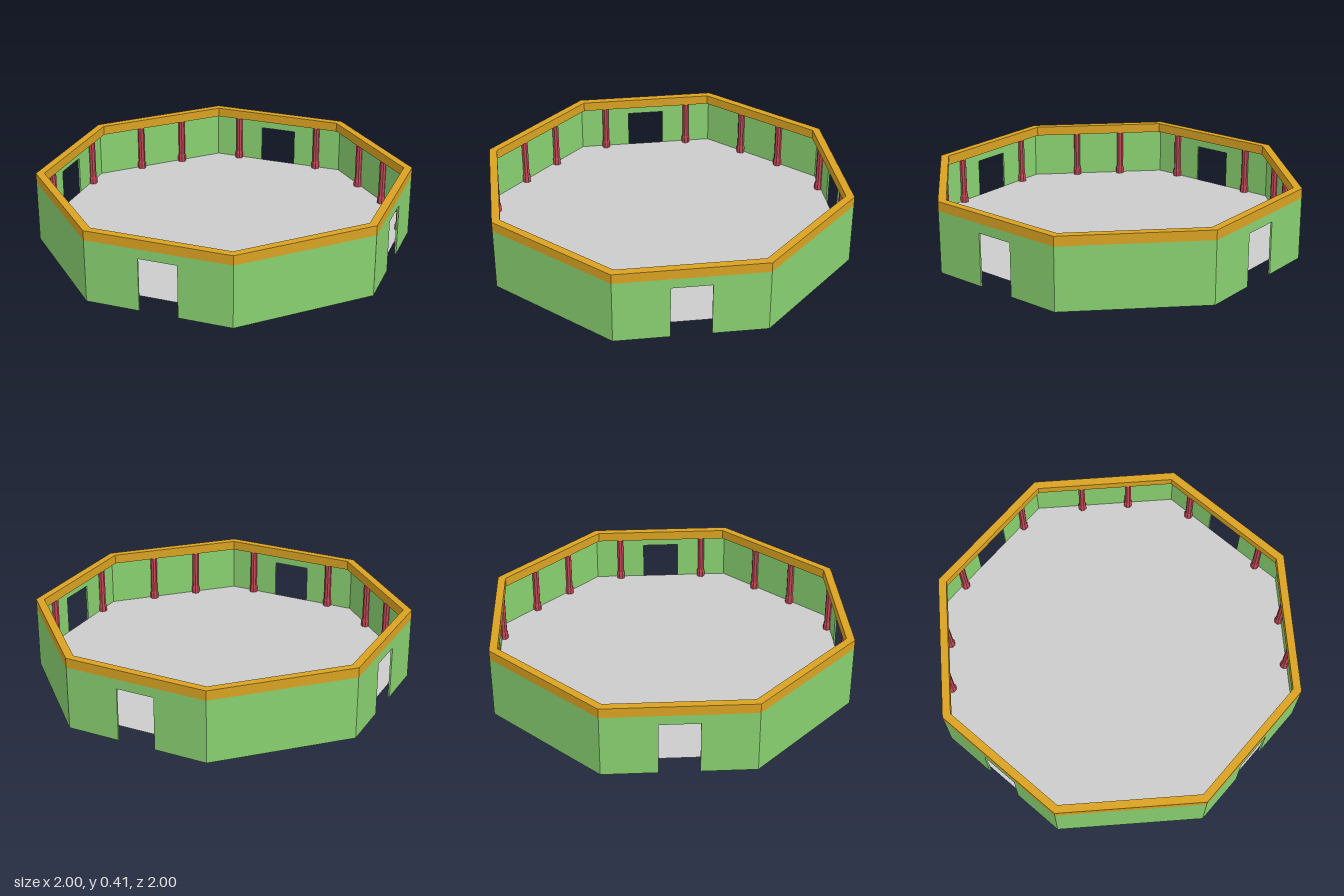
import * as THREE from 'three';

const SIDES = 8;
const TAN = Math.tan(Math.PI / SIDES);
const FLOOR_Y = 0.085, WALL_H = 0.36, TOP = 0.415, WALL_T = 0.01;

const mat = (color, extra = {}) => new THREE.MeshStandardMaterial({ color, flatShading: true, ...extra });

// Octagon with flat sides facing the axes, given its centre-to-side distance
function octagon(apothem, PathType = THREE.Shape) {
  const r = apothem / Math.cos(Math.PI / SIDES);
  const pts = [];
  for (let i = 0; i < SIDES; i++) {
    const a = (i + 0.5) * Math.PI * 2 / SIDES;
    pts.push(new THREE.Vector2(r * Math.cos(a), r * Math.sin(a)));
  }
  return new PathType(pts);
}

// Wall panel, optionally with a doorway open at the bottom
function wallGeometry(hasDoor) {
  const w = TAN, d = 0.11, h = 0.305;
  const pts = [[-w, 0]];
  if (hasDoor) pts.push([-d, 0], [-d, h], [d, h], [d, 0]);
  pts.push([w, 0], [w, WALL_H], [-w, WALL_H]);
  const shape = new THREE.Shape(pts.map(p => new THREE.Vector2(...p)));
  return new THREE.ExtrudeGeometry(shape, { depth: WALL_T, bevelEnabled: false })
    .translate(0, 0, 1 - WALL_T);
}

export function createModel() {
  const model = new THREE.Group();
  model.name = 'octagonalArena';
  const green = mat(0x88d070), gold = mat(0xd9a222), red = mat(0xc44858);
  const grey = mat(0xcccccc, { side: THREE.DoubleSide });

  function add(parent, name, geometry, material) {
    const mesh = new THREE.Mesh(geometry, material);
    mesh.name = name;
    parent.add(mesh);
    return mesh;
  }

  // Thin raised floor
  const floor = add(model, 'floor', new THREE.ShapeGeometry(octagon(1 - WALL_T)), grey);
  floor.rotation.x = -Math.PI / 2;
  floor.position.y = FLOOR_Y;

  // Coping ring on top of the walls
  const ring = octagon(1);
  ring.holes.push(octagon(0.955, THREE.Path));
  const coping = add(model, 'coping',
    new THREE.ExtrudeGeometry(ring, { depth: TOP - WALL_H, bevelEnabled: false }), gold);
  coping.rotation.x = -Math.PI / 2;
  coping.position.y = WALL_H;

  // Column parts, with flat sides facing the wall
  const baseH = 0.12;
  const turn = Math.PI / 8;
  const baseGeo = new THREE.CylinderGeometry(0.025, 0.025, baseH, 8).rotateY(turn).translate(0, baseH / 2, 0);
  const collarGeo = new THREE.CylinderGeometry(0.02, 0.025, 0.012, 8).rotateY(turn).translate(0, baseH + 0.006, 0);
  const shaftGeo = new THREE.CylinderGeometry(0.02, 0.02, WALL_H - baseH, 8)
    .rotateY(turn).translate(0, (WALL_H + baseH) / 2, 0);

  // Eight sides: doorways on the axes, plain panels on the diagonals
  const doorWall = wallGeometry(true), plainWall = wallGeometry(false);
  for (let i = 0; i < SIDES; i++) {
    const hasDoor = i % 2 === 0;
    const side = new THREE.Group();
    side.name = hasDoor ? 'doorSide' : 'plainSide';
    side.rotation.y = i * Math.PI * 2 / SIDES;
    add(side, 'wall', hasDoor ? doorWall : plainWall, green);
    for (const s of [-1, 1]) {
      const column = new THREE.Group();
      column.name = 'column';
      column.position.set(s * (hasDoor ? 0.26 : 0.14), 0, 0.976);
      add(column, 'columnBase', baseGeo, red);
      add(column, 'columnCollar', collarGeo, red);
      add(column, 'columnShaft', shaftGeo, red);
      side.add(column);
    }
    model.add(side);
  }
  return model;
}
